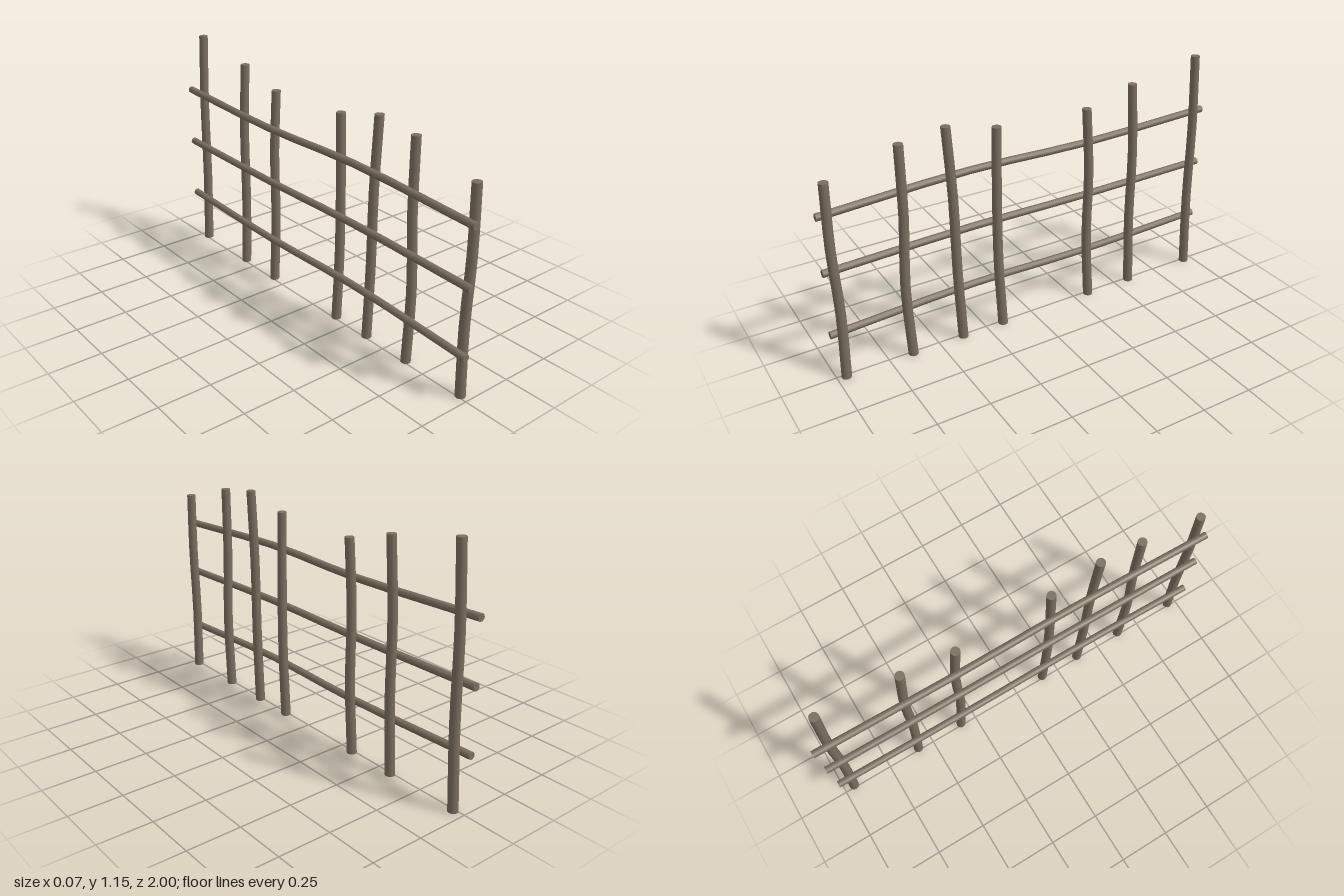
import * as THREE from 'three';

// Cylinder along y whose rings are shifted in z to follow a bent centre line of [along, offset] points
function bentPole(points, rBottom, rTop, segments) {
  const curve = new THREE.CatmullRomCurve3(points.map(([along, offset]) => new THREE.Vector3(0, along, offset)));
  const g = new THREE.CylinderGeometry(rTop, rBottom, 1, 12, segments);
  const pos = g.attributes.position;
  for (let i = 0; i < pos.count; i++) {
    const c = curve.getPoint(THREE.MathUtils.clamp(pos.getY(i) + 0.5, 0, 1));
    pos.setY(i, c.y);
    pos.setZ(i, pos.getZ(i) + c.z);
  }
  return g;
}

export function createModel() {
  const group = new THREE.Group();
  const wood = new THREE.MeshStandardMaterial({ color: 0x7a6e5f });
  wood.name = 'weathered wood';

  const add = (name, geometry, x) => {
    const mesh = new THREE.Mesh(geometry, wood);
    mesh.name = name;
    mesh.position.x = x;
    group.add(mesh);
    return mesh;
  };

  // Upright posts: top height, then z at the base, at two bends and at the top
  const posts = [
    [0.96, 0.957, 0.951, 0.963, 0.959],
    [1.05, 0.634, 0.649, 0.633, 0.634],
    [1.08, 0.377, 0.393, 0.399, 0.42],
    [1.025, 0.163, 0.181, 0.183, 0.178],
    [1.01, -0.329, -0.308, -0.311, -0.289],
    [1.08, -0.58, -0.563, -0.563, -0.54],
    [1.15, -0.949, -0.93, -0.927, -0.907],
  ];
  posts.forEach(([h, z0, z1, z2, z3], i) => {
    const path = [[0, z0], [h * 0.34, z1], [h * 0.68, z2], [h, z3]];
    add(`post${i + 1}`, bentPole(path, 0.0235, 0.0215, 9), 0.0122);
  });

  // Horizontal rails: heights from the back end to the front end
  const rails = [
    ['lowerRail', 0.265, 0.244, 0.251, 0.217],
    ['middleRail', 0.564, 0.552, 0.553, 0.531],
    ['upperRail', 0.85, 0.825, 0.834, 0.798],
  ];
  for (const [name, y0, y1, y2, y3] of rails) {
    const path = [[-1, -y0], [-0.3, -y1], [0.3, -y2], [1, -y3]];
    add(name, bentPole(path, 0.0172, 0.0172, 9), -0.0195).rotation.x = Math.PI / 2;
  }
  return group;
}
